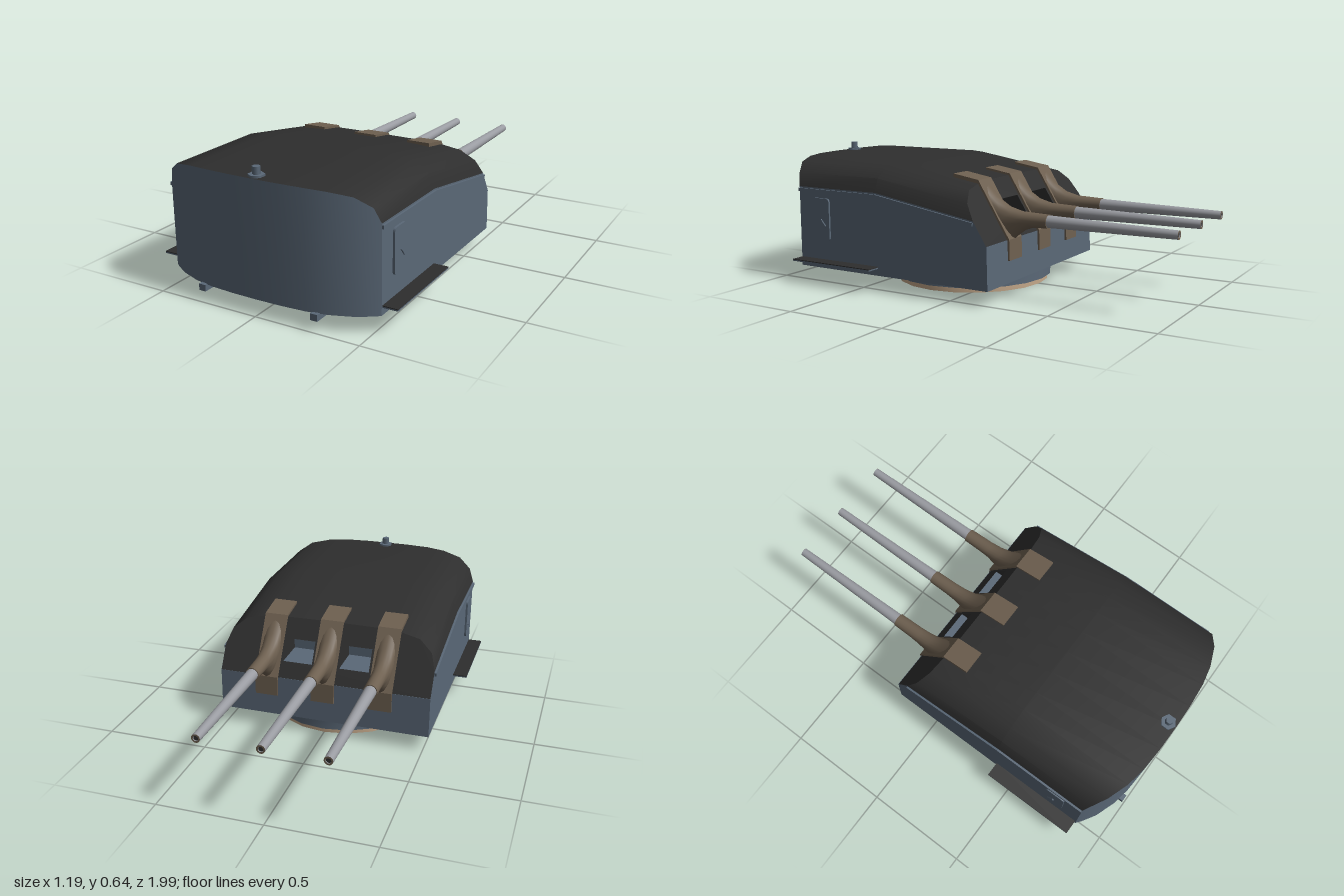
import * as THREE from 'three';
import { toCreasedNormals } from 'three/addons/utils/BufferGeometryUtils.js';

const mat = (name, color) => {
  const m = new THREE.MeshStandardMaterial({ color, side: THREE.DoubleSide });
  m.name = name;
  return m;
};

// Skin between rows of [x, y, z] points
function loft(rows, crease = 0.6) {
  const n = rows[0].length, index = [];
  for (let r = 0; r < rows.length - 1; r++) {
    for (let i = 0; i < n - 1; i++) {
      const a = r * n + i, b = a + n;
      index.push(a, a + 1, b, a + 1, b + 1, b);
    }
  }
  const g = new THREE.BufferGeometry();
  g.setAttribute('position', new THREE.Float32BufferAttribute(rows.flat(2), 3));
  g.setIndex(index);
  return toCreasedNormals(g, crease);
}

const shapeOf = pts => new THREE.Shape(pts.map(p => new THREE.Vector2(p[0], p[1])));

export function createModel() {
  const hull = mat('hull blue grey', 0x5a6877);
  const dark = mat('roof black', 0x2e2e2e);
  const brown = mat('canvas brown', 0x6e6050);
  const steel = mat('barrel steel', 0x9a9ca2);
  const tan = mat('ring tan', 0xc4a88a);

  const model = new THREE.Group();
  const add = (name, geo, material, x = 0, y = 0, z = 0, parent = model) => {
    const m = new THREE.Mesh(geo, material);
    m.name = name;
    m.position.set(x, y, z);
    parent.add(m);
    return m;
  };
  const box = (name, w, h, d, material, x, y, z, parent) =>
    add(name, new THREE.BoxGeometry(w, h, d), material, x, y, z, parent);

  // Half section of the housing: x, roof height, z of the curved rear wall
  const half = [[0, 0.603, 0.99], [0.12, 0.603, 0.988], [0.24, 0.602, 0.98], [0.335, 0.597, 0.962],
    [0.435, 0.58, 0.925], [0.5, 0.535, 0.885], [0.525, 0.47, 0.865]];
  const section = [...half.slice(1).reverse().map(([x, p, z]) => [-x, p, z]), ...half];
  const floorY = 0.075, kneeY = 0.275, kneeZ = -0.21, drop = 0.16;
  const slopeZ = y => -0.05 - (0.53 - y) * 0.62;
  const frontEdge = section.map(([x, p]) => {
    const z = (0.62 * p - 0.4183) / 0.9008;
    return [x, p - drop * (0.4 - z), z];
  });

  // Roof, level at the rear and sloping down towards the guns
  add('roof', loft([section, section.map(([x, p]) => [x, p, 0.4]), frontEdge]), dark);
  add('rearWall', loft([section.map(([x, , z]) => [x, floorY, z]), section]), hull);
  for (const s of [-1, 1]) {
    const side = new THREE.ShapeGeometry(shapeOf([[-0.865, floorY], [0.215, floorY], [-kneeZ, kneeY],
      [0.141, 0.3835], [-0.4, 0.47], [-0.865, 0.47]]));
    side.rotateY(Math.PI / 2);
    add('sideWall', side, hull, s * 0.525);
  }
  add('frontWall', loft([[[-0.525, kneeY, kneeZ], [0.525, kneeY, kneeZ]],
    [[-0.525, floorY, -0.215], [0.525, floorY, -0.215]]]), hull);
  const floor = new THREE.ShapeGeometry(shapeOf([[-0.525, -0.215], ...section.map(p => [p[0], p[2]]), [0.525, -0.215]]));
  add('floor', floor.rotateX(Math.PI / 2), hull, 0, floorY);

  // Sloping front plate with two sight openings
  const plate = shapeOf([[-0.525, kneeY], [0.525, kneeY], ...frontEdge.slice().reverse()]);
  const openY = [0.345, 0.441];
  for (const s of [-1, 1]) {
    const [x0, x1] = [s * 0.142 - 0.073, s * 0.142 + 0.073];
    plate.holes.push(new THREE.Path([[x0, openY[0]], [x0, openY[1]], [x1, openY[1]], [x1, openY[0]]]
      .map(p => new THREE.Vector2(...p))));
    // Recess behind each opening
    const zb = 0.0, [lo, hi] = openY, zl = slopeZ(lo), zh = slopeZ(hi);
    add('sightFloor', loft([[[x0, lo, zl], [x1, lo, zl]], [[x0, lo, zb], [x1, lo, zb]]]), hull);
    add('sightBack', loft([[[x0, lo, zb], [x1, lo, zb]], [[x0, hi, zb], [x1, hi, zb]]]), hull);
    for (const x of [x0, x1]) {
      add('sightCheek', loft([[[x, lo, zl], [x, hi, zh]], [[x, lo, zb], [x, hi, zb]]]), dark);
    }
  }
  const slope = new THREE.ShapeGeometry(plate);
  const pos = slope.attributes.position;
  for (let i = 0; i < pos.count; i++) pos.setZ(i, slopeZ(pos.getY(i)));
  const idx = slope.index.array;
  for (let i = 0; i < idx.length; i += 3) [idx[i], idx[i + 1]] = [idx[i + 1], idx[i]];
  slope.computeVertexNormals();
  add('frontSlope', slope, dark);

  // Turntable
  const drum = new THREE.CylinderGeometry(0.395, 0.395, 0.05, 20);
  add('turntable', toCreasedNormals(drum, 0.6), hull, 0, 0.051, 0.19);
  const rim = [[0.36, 0.028], [0.36, 0], [0.38, 0], [0.38, 0.028]].map(p => new THREE.Vector2(...p));
  add('baseRing', toCreasedNormals(new THREE.LatheGeometry(rim, 20), 0.6), tan, 0, 0, 0.19);

  // Guns, each with a canvas boot and a bent mounting strap
  const strap = shapeOf([[-0.08, 0.545], [-0.08, 0.562], [0.055, 0.54], [0.219, 0.277], [0.222, 0.18],
    [0.21, 0.18], [0.205, 0.27], [0.045, 0.52]]);
  const boot = [ // top z, top y, bottom z, bottom y, half width
    [-0.05, 0.535, -0.212, 0.27, 0.048], [-0.12, 0.463, -0.24, 0.295, 0.042],
    [-0.18, 0.424, -0.275, 0.32, 0.037], [-0.25, 0.405, -0.31, 0.333, 0.035],
    [-0.39, 0.4, -0.39, 0.336, 0.033]];
  const rings = boot.map(([tz, ty, bz, by, w]) => Array.from({ length: 17 }, (_, i) => {
    const a = i / 16 * Math.PI * 2, k = (1 + Math.cos(a)) / 2;
    return [Math.sin(a) * w, by + (ty - by) * k, bz + (tz - bz) * k];
  }));
  for (const x of [-0.285, 0, 0.285]) {
    const gun = new THREE.Group();
    gun.name = 'gun';
    gun.position.x = x;
    model.add(gun);
    const strapGeo = new THREE.ExtrudeGeometry(strap, { depth: 0.114, bevelEnabled: false });
    add('strap', strapGeo.translate(0, 0, -0.057).rotateY(Math.PI / 2), brown, 0, 0, 0, gun);
    add('boot', loft(rings, 1), brown, 0, 0, 0, gun);
    add('bootEnd', new THREE.CircleGeometry(0.033, 16).rotateY(Math.PI), brown, 0, 0.368, -0.39, gun);
    const tube = new THREE.CylinderGeometry(0.029, 0.02, 0.615, 16, 1, true).rotateX(Math.PI / 2);
    add('barrel', tube, steel, 0, 0.367, -0.6925, gun).rotation.x = -0.004;
    add('muzzle', new THREE.RingGeometry(0.012, 0.02, 16).rotateY(Math.PI), brown, 0, 0.366, -1, gun);
    add('bore', new THREE.CircleGeometry(0.012, 16).rotateY(Math.PI), dark, 0, 0.366, -0.995, gun);
  }

  // Side fittings
  const door = new THREE.Shape();
  const [dw, dh, r] = [0.05, 0.103, 0.018];
  door.moveTo(-dw + r, -dh).lineTo(dw - r, -dh).quadraticCurveTo(dw, -dh, dw, -dh + r)
    .lineTo(dw, dh - r).quadraticCurveTo(dw, dh, dw - r, dh).lineTo(-dw + r, dh)
    .quadraticCurveTo(-dw, dh, -dw, dh - r).lineTo(-dw, -dh + r).quadraticCurveTo(-dw, -dh, -dw + r, -dh);
  for (const s of [-1, 1]) {
    const doorGeo = new THREE.ExtrudeGeometry(door, { depth: 0.012, bevelEnabled: false, curveSegments: 4 });
    add('door', doorGeo.translate(0, 0, -0.006).rotateY(Math.PI / 2), hull, s * 0.529, 0.318, 0.725);
    box('doorHandle', 0.012, 0.045, 0.008, hull, s * 0.535, 0.3, 0.71).rotation.x = 0.7;
    box('stepPlate', 0.075, 0.006, 0.47, hull, s * 0.558, 0.112, 0.625);
    box('stepTread', 0.075, 0.004, 0.47, dark, s * 0.558, 0.117, 0.625);
    box('rearGutter', 0.012, 0.016, 0.465, hull, s * 0.528, 0.455, 0.632);
    box('frontGutter', 0.012, 0.016, 0.548, hull, s * 0.528, 0.412, 0.13).rotation.x = -0.158;
    // Rails beneath the overhang
    box('underRail', 0.034, 0.03, 0.56, hull, s * 0.283, 0.063, 0.71);
  }

  // Roof vent
  add('ventBase', new THREE.CylinderGeometry(0.036, 0.036, 0.014, 6), hull, 0, 0.605, 0.95);
  add('ventStem', new THREE.CylinderGeometry(0.018, 0.018, 0.04, 6), hull, 0, 0.625, 0.95);
  return model;
}
